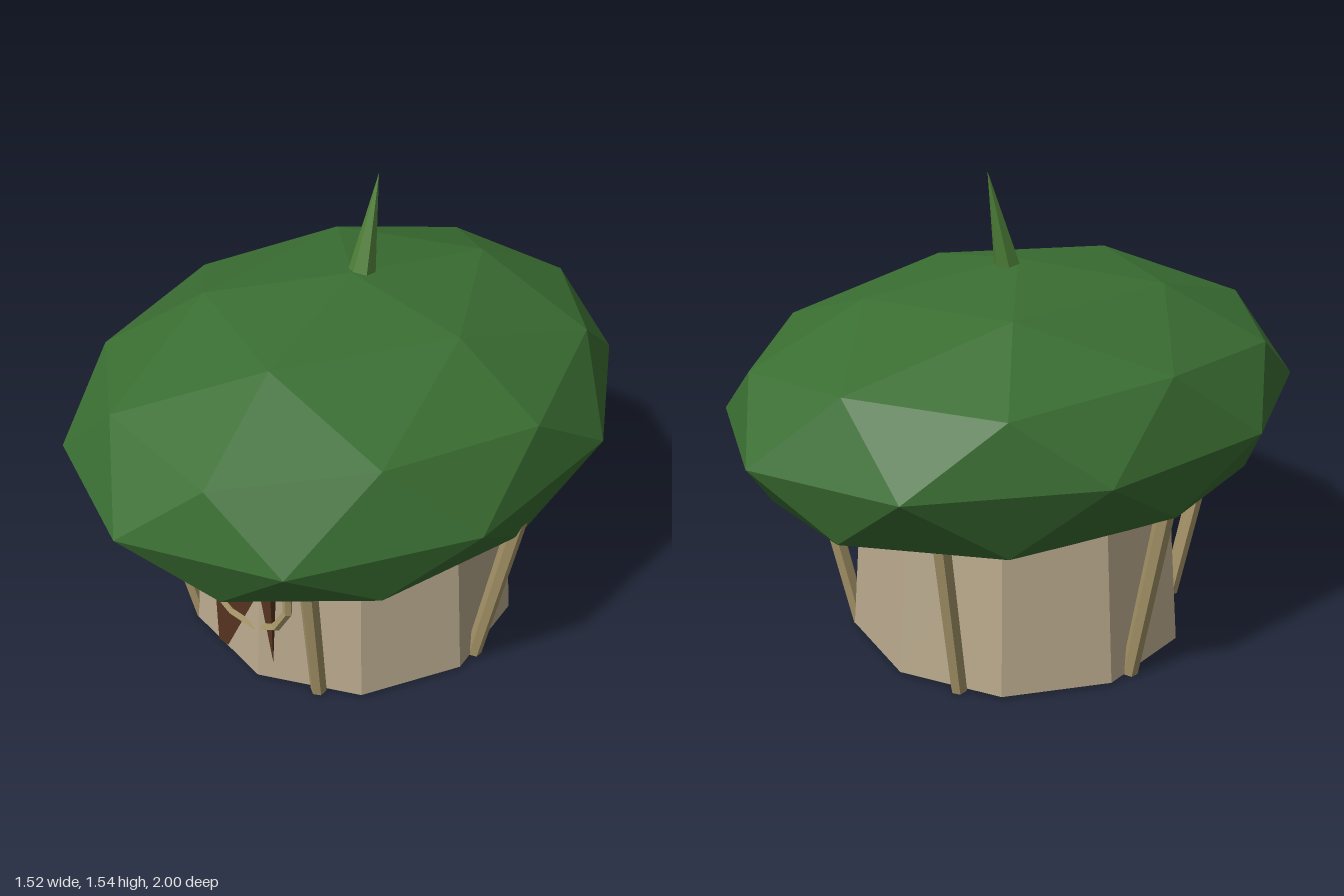
import * as THREE from 'three';

const rad = THREE.MathUtils.degToRad;

function material(name, color) {
  const m = new THREE.MeshStandardMaterial({ color });
  m.name = name;
  return m;
}

// Faceted mesh: split the vertices so every face keeps its own normal
function faceted(name, geometry, mat) {
  const geo = geometry.index ? geometry.toNonIndexed() : geometry;
  geo.computeVertexNormals();
  const mesh = new THREE.Mesh(geo, mat);
  mesh.name = name;
  return mesh;
}

export function createModel() {
  const model = new THREE.Group();
  model.name = 'treeHut';

  const leaf = material('leafGreen', 0x3a6e32);
  const sprout = material('sproutGreen', 0x4f8038);
  const plaster = material('paleWall', 0xb8a88c);
  const wood = material('lightWood', 0xa8966a);
  const doorBrown = material('doorBrown', 0x55331f);

  // Ten-sided wall, narrowing upward into the canopy
  const wallGeo = new THREE.CylinderGeometry(0.515, 0.57, 0.65, 10, 1, false, rad(8.5));
  wallGeo.translate(0, 0.335, 0);
  model.add(faceted('wall', wallGeo, plaster));

  // Leaf canopy: squashed icosphere with one vertex straight up
  const canopyGeo = new THREE.IcosahedronGeometry(1, 1);
  canopyGeo.rotateZ(-Math.atan(2 / (1 + Math.sqrt(5))));
  canopyGeo.scale(0.8, 0.44, 1);
  canopyGeo.translate(0, 0.81, 0);
  model.add(faceted('canopy', canopyGeo, leaf));

  // Sprout leaning backward on top
  const sproutGeo = new THREE.ConeGeometry(0.047, 0.34, 6);
  sproutGeo.translate(0, 0.17, 0);
  sproutGeo.rotateX(-rad(14));
  sproutGeo.translate(0, 1.21, -0.04);
  model.add(faceted('sprout', sproutGeo, sprout));

  // Six posts leaning outward around the wall
  const lean = Math.atan(0.2);
  for (let i = 0; i < 6; i++) {
    const postGeo = new THREE.CylinderGeometry(0.03, 0.027, 0.74, 6);
    postGeo.translate(0, 0.37, 0);
    postGeo.rotateZ(-lean);
    postGeo.translate(0.548, 0.006, 0);
    postGeo.rotateY(i * Math.PI / 3);
    model.add(faceted('post' + (i + 1), postGeo, wood));
  }

  // Flat door, partly sunk into the wall
  const doorGeo = new THREE.BoxGeometry(0.26, 0.405, 0.05);
  doorGeo.translate(0, 0.2155, 0.51);
  model.add(faceted('door', doorGeo, doorBrown));

  // Hoop hanging in front of the door
  const hoopGeo = new THREE.TorusGeometry(0.208, 0.016, 5, 12);
  hoopGeo.rotateZ(rad(15));
  hoopGeo.translate(0, 0.39, 0.531);
  model.add(faceted('hoop', hoopGeo, wood));

  return model;
}
